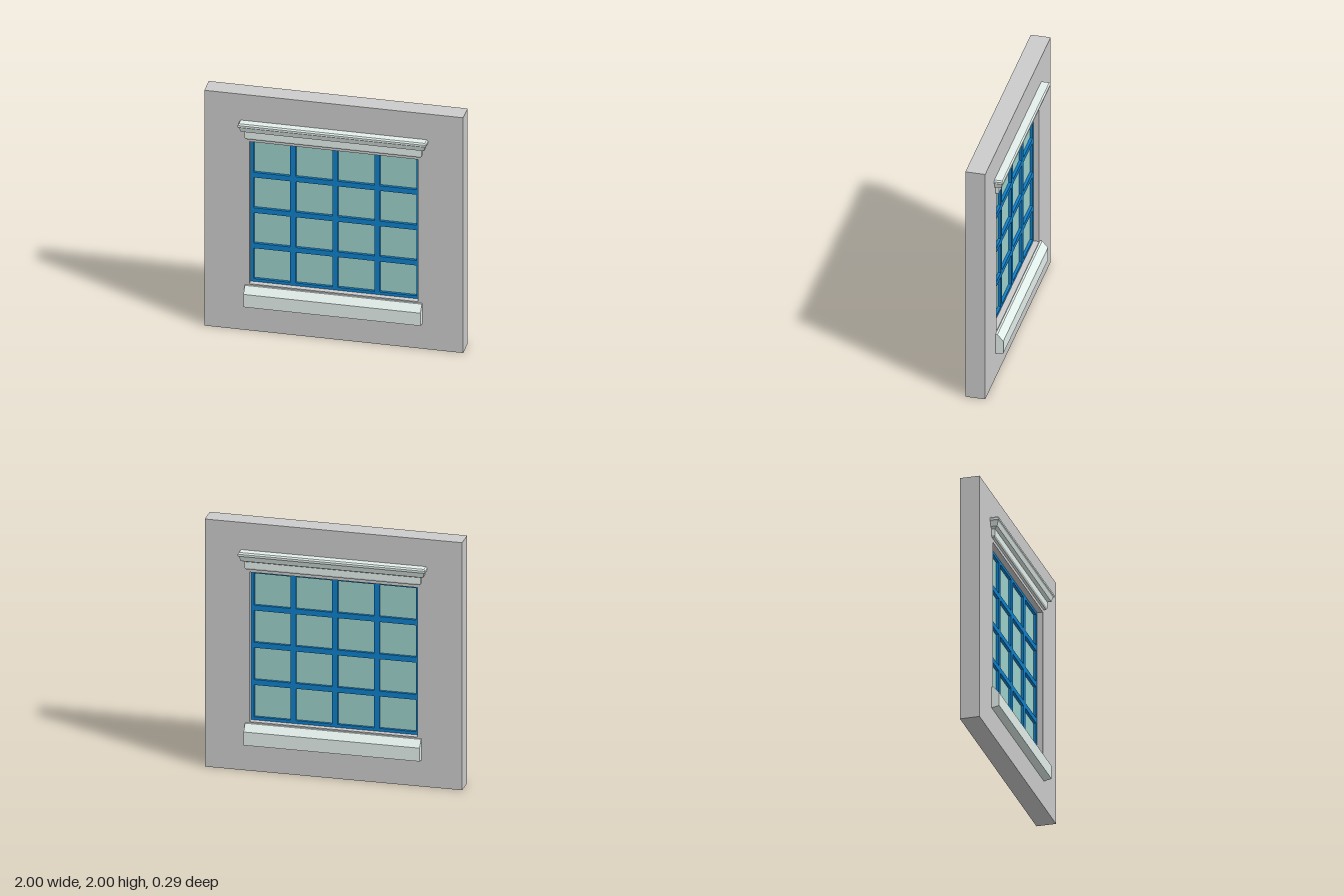
import * as THREE from 'three';

const WALL_Z = 0.077;                                    // half wall thickness
const HALE = { x0: -0.652, x1: 0.652, y0: 0.396, y1: 1.604 }; // window opening

const paint = (color) => new THREE.MeshStandardMaterial({ color, flatShading: true });

// Traces a rectangle on a Shape or Path
function rect(target, x0, y0, x1, y1) {
  target.moveTo(x0, y0);
  target.lineTo(x1, y0);
  target.lineTo(x1, y1);
  target.lineTo(x0, y1);
  target.closePath();
  return target;
}

// Flat panel with rectangular holes, centred on z = 0
function panel(name, outer, holes, halfDepth, material) {
  const shape = rect(new THREE.Shape(), ...outer);
  for (const h of holes) shape.holes.push(rect(new THREE.Path(), ...h));
  const geo = new THREE.ExtrudeGeometry(shape, { depth: 2 * halfDepth, bevelEnabled: false });
  geo.translate(0, 0, -halfDepth);
  const mesh = new THREE.Mesh(geo, material);
  mesh.name = name;
  return mesh;
}

// Moulding that returns to the wall at both ends; levels are [y, outward offset]
function mouldingGeometry(levels, halfWidth, front) {
  const pos = [];
  const loops = levels.map(([y, d]) => {
    const w = halfWidth + d, z = front + d;
    return [[-w, y, WALL_Z], [-w, y, z], [w, y, z], [w, y, WALL_Z]];
  });
  const quad = (a, b, c, d) => pos.push(...a, ...b, ...c, ...a, ...c, ...d);
  for (let i = 0; i < loops.length - 1; i++) {
    const lo = loops[i], hi = loops[i + 1];
    for (let k = 0; k < 3; k++) quad(lo[k], lo[k + 1], hi[k + 1], hi[k]);
  }
  const first = loops[0], last = loops[loops.length - 1];
  quad(first[3], first[2], first[1], first[0]);
  quad(...last);
  const geo = new THREE.BufferGeometry();
  geo.setAttribute('position', new THREE.Float32BufferAttribute(pos, 3));
  geo.computeVertexNormals();
  return geo;
}

// Sill with a sloping top and a slightly undercut bottom
function sillGeometry(halfWidth) {
  const profile = [[WALL_Z, 0.213], [0.137, 0.224], [0.137, 0.332], [0.092, 0.386], [WALL_Z, 0.386]];
  const shape = new THREE.Shape(profile.map(([z, y]) => new THREE.Vector2(-z, y)));
  const geo = new THREE.ExtrudeGeometry(shape, { depth: 2 * halfWidth, bevelEnabled: false });
  geo.translate(0, 0, -halfWidth);
  geo.rotateY(Math.PI / 2); // extrusion runs along x, profile faces +z
  return geo;
}

export function createModel() {
  const model = new THREE.Group();
  model.name = 'windowWall';
  const wallMat = paint(0xcccccc);
  const trimMat = paint(0xe4f0ec);
  const frameMat = paint(0x0f80ca);
  const glassMat = paint(0x9dd1cb);
  const { x0, x1, y0, y1 } = HALE;

  // Wall with the window opening
  model.add(panel('wall', [-1, 0, 1, 2], [[x0, y0, x1, y1]], WALL_Z, wallMat));

  // Glazing frame: a 4 x 4 grid of openings between bars
  const n = 4, border = 0.024, bar = 0.043;
  const paneW = (x1 - x0 - 2 * border - (n - 1) * bar) / n;
  const paneH = (y1 - y0 - 2 * border - (n - 1) * bar) / n;
  const holes = [];
  for (let i = 0; i < n; i++) {
    for (let j = 0; j < n; j++) {
      const px = x0 + border + i * (paneW + bar);
      const py = y0 + border + j * (paneH + bar);
      holes.push([px, py, px + paneW, py + paneH]);
    }
  }
  model.add(panel('windowFrame', [x0, y0, x1, y1], holes, 0.032, frameMat));

  // Glass panes
  const panes = new THREE.Group();
  panes.name = 'glassPanes';
  for (const [ax, ay, bx, by] of holes) {
    const pane = new THREE.Mesh(new THREE.BoxGeometry(bx - ax, by - ay, 0.02), glassMat);
    pane.position.set((ax + bx) / 2, (ay + by) / 2, 0);
    pane.name = 'glassPane';
    panes.add(pane);
  }
  model.add(panes);

  // Cornice and sill, the same on both faces of the wall
  const corniceGeo = mouldingGeometry([
    [1.632, -0.008], [1.646, 0], [1.696, 0], [1.708, 0.024], [1.716, 0.026],
    [1.744, 0.034], [1.752, 0.043], [1.768, 0.043], [1.78, 0.034],
  ], 0.684, 0.104);
  const sillGeo = sillGeometry(0.684);
  for (const side of ['front', 'back']) {
    const trim = new THREE.Group();
    trim.name = side + 'Trim';
    const cornice = new THREE.Mesh(corniceGeo, trimMat);
    cornice.name = side + 'Cornice';
    const sill = new THREE.Mesh(sillGeo, trimMat);
    sill.name = side + 'Sill';
    trim.add(cornice, sill);
    if (side === 'back') trim.rotation.y = Math.PI;
    model.add(trim);
  }
  return model;
}
